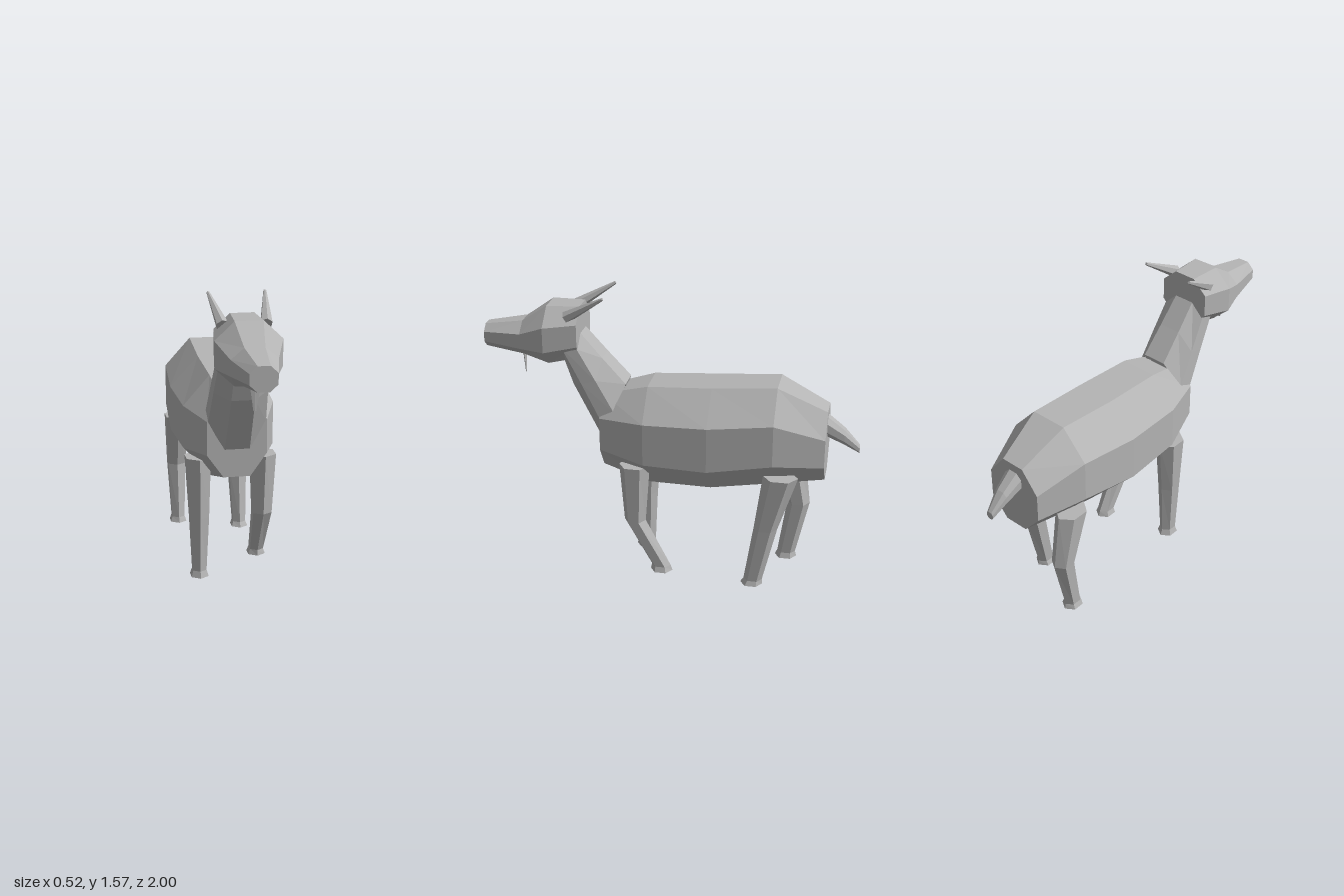
import * as THREE from 'three';

const coat = new THREE.MeshStandardMaterial({ color: 0xb4b4b4 });
coat.name = 'grey coat';

// Flat-faced skin over a list of rings (equal point counts), closed at both ends
function loft(name, rings) {
  const n = rings[0].length, tris = [];
  for (let r = 0; r < rings.length - 1; r++) {
    for (let i = 0; i < n; i++) {
      const j = (i + 1) % n, A = rings[r], B = rings[r + 1];
      tris.push([A[i], A[j], B[j]], [A[i], B[j], B[i]]);
    }
  }
  const last = rings[rings.length - 1];
  for (let i = 1; i < n - 1; i++) {
    tris.push([rings[0][0], rings[0][i + 1], rings[0][i]], [last[0], last[i], last[i + 1]]);
  }
  // A negative volume means the faces point inwards, so turn them round
  let volume = 0;
  const c = rings[0][0], v = (p) => new THREE.Vector3(p[0] - c[0], p[1] - c[1], p[2] - c[2]);
  for (const [a, b, d] of tris) volume += v(a).dot(v(b).cross(v(d)));
  if (volume < 0) tris.forEach((t) => t.reverse());
  const geometry = new THREE.BufferGeometry();
  geometry.setAttribute('position', new THREE.Float32BufferAttribute(tris.flat(2), 3));
  geometry.computeVertexNormals();
  const mesh = new THREE.Mesh(geometry, coat);
  mesh.name = name;
  return mesh;
}

// Symmetric eight-sided ring: four [y, z] levels from top to bottom,
// narrow at the first and last (half width a), wide at the middle two (w)
function octagon(a, w, levels) {
  const half = levels.map(([y, z], i) => [i === 0 || i === 3 ? a : w, y, z]);
  return [...half, ...half.map(([x, y, z]) => [-x, y, z]).reverse()];
}

// Upright eight-sided ring at one z
const slice = (z, a, w, ...ys) => octagon(a, w, ys.map((y) => [y, z]));

// Level six-sided ring with corners to the front and back
function hexagon(x, y, z, halfX, halfZ) {
  return Array.from({ length: 6 }, (_, i) => {
    const t = (i * Math.PI) / 3;
    return [x + (Math.sin(t) * halfX) / 0.866, y, z + Math.cos(t) * halfZ];
  });
}

// Leg from [y, z, halfX, halfZ] steps, ending in a flared hoof
function leg(name, side, steps) {
  return loft(name, steps.map(([y, z, hx, hz], i) =>
    hexagon(side * (i === 0 ? 0.174 : 0.17), y, z, hx, hz)));
}

export function createModel() {
  const goat = new THREE.Group();
  goat.name = 'goat';

  goat.add(loft('body', [
    slice(0.36, 0.07, 0.155, 1.02, 0.91, 0.73, 0.61),
    slice(0.11, 0.1, 0.24, 1.09, 0.93, 0.7, 0.54),
    slice(-0.23, 0.107, 0.26, 1.11, 0.945, 0.7, 0.54),
    slice(-0.57, 0.1, 0.24, 1.135, 0.98, 0.755, 0.595),
    slice(-0.83, 0.065, 0.16, 1.01, 0.89, 0.735, 0.625),
  ]));

  // Neck rings run from the nape down to the throat
  goat.add(loft('neck', [
    octagon(0.065, 0.15, [[1.08, 0.235], [0.945, 0.28], [0.9, 0.355], [0.76, 0.365]]),
    octagon(0.06, 0.138, [[1.215, 0.36], [1.115, 0.38], [1.09, 0.455], [1.06, 0.52]]),
    octagon(0.055, 0.125, [[1.35, 0.48], [1.28, 0.48], [1.28, 0.56], [1.2, 0.57]]),
  ]));

  goat.add(loft('head', [
    slice(0.475, 0.06, 0.14, 1.49, 1.415, 1.295, 1.21),
    slice(0.65, 0.07, 0.167, 1.487, 1.395, 1.26, 1.17),
    slice(0.79, 0.05, 0.115, 1.39, 1.335, 1.255, 1.205),
    slice(1.0, 0.03, 0.067, 1.353, 1.318, 1.265, 1.23),
  ]));

  goat.add(loft('tail', [
    slice(-0.81, 0.025, 0.058, 0.98, 0.95, 0.9, 0.865),
    slice(-0.92, 0.02, 0.04, 0.895, 0.875, 0.84, 0.815),
    slice(-1.0, 0.01, 0.02, 0.81, 0.8, 0.78, 0.77),
  ]));

  // Thin tapering beard
  goat.add(loft('beard', [
    hexagon(0, 1.22, 0.8, 0.027, 0.005),
    hexagon(0, 1.085, 0.797, 0.007, 0.002),
  ]));

  // Swept-back horns
  for (const side of [1, -1]) {
    const base = new THREE.Vector3(side * 0.108, 1.445, 0.535);
    const tip = new THREE.Vector3(side * 0.143, 1.567, 0.33);
    const axis = tip.clone().sub(base);
    const geometry = new THREE.CylinderGeometry(0.008, 0.032, axis.length(), 6).toNonIndexed();
    geometry.computeVertexNormals();
    const horn = new THREE.Mesh(geometry, coat);
    horn.name = side > 0 ? 'leftHorn' : 'rightHorn';
    horn.position.copy(base).add(tip).multiplyScalar(0.5);
    horn.quaternion.setFromUnitVectors(new THREE.Vector3(0, 1, 0), axis.normalize());
    goat.add(horn);
  }

  // Standing legs and the two lifted or bent ones
  goat.add(
    leg('rightFrontLeg', -1, [
      [0.67, 0.168, 0.064, 0.083], [0.34, 0.175, 0.05, 0.06],
      [0.035, 0.175, 0.036, 0.047], [0, 0.175, 0.046, 0.06]]),
    leg('leftFrontLeg', 1, [
      [0.67, 0.168, 0.064, 0.083], [0.34, 0.168, 0.05, 0.058],
      [0.075, 0.025, 0.036, 0.052], [0.045, 0.023, 0.046, 0.06]]),
    leg('leftBackLeg', 1, [
      [0.67, -0.61, 0.064, 0.092], [0.36, -0.54, 0.05, 0.063],
      [0.045, -0.48, 0.036, 0.05], [0.018, -0.473, 0.046, 0.06]]),
    leg('rightBackLeg', -1, [
      [0.67, -0.61, 0.064, 0.092], [0.36, -0.68, 0.05, 0.062],
      [0.045, -0.623, 0.036, 0.05], [0.015, -0.62, 0.046, 0.06]]),
  );
  return goat;
}
